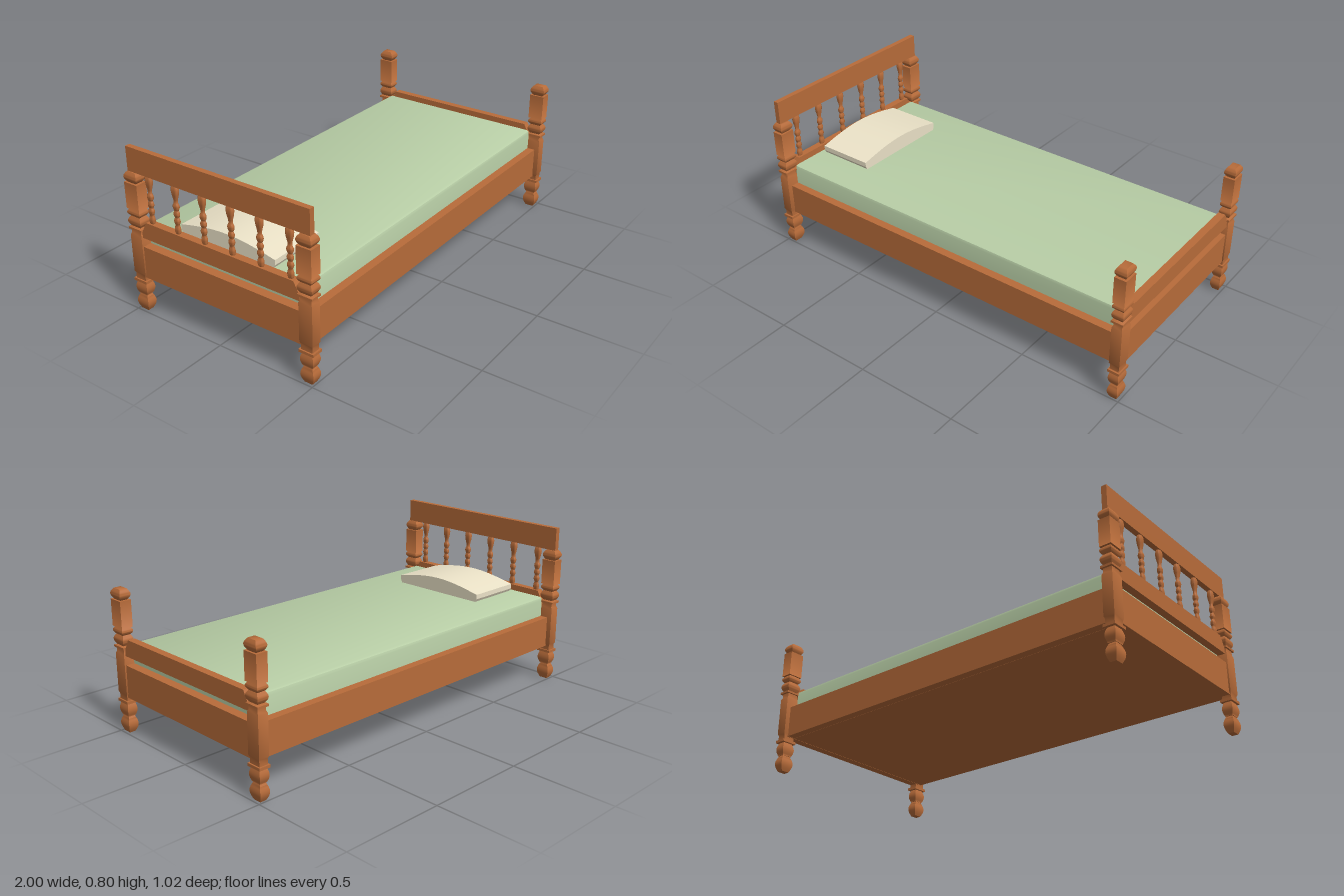
import * as THREE from 'three';
import { toCreasedNormals } from 'three/addons/utils/BufferGeometryUtils.js';

const wood = new THREE.MeshStandardMaterial({ color: 0xb86c3a });
const sheet = new THREE.MeshStandardMaterial({ color: 0xb8cea6 });
const linen = new THREE.MeshStandardMaterial({ color: 0xece3c8 });

const POST_X = 0.97, POST_Z = 0.47, DEPTH = 0.75; // turned parts are narrower along x

// Rounded bulge between two heights, as [radius, y] pairs
function bead(y0, y1, neck, belly, steps = 8) {
  return Array.from({ length: steps + 1 }, (_, i) => {
    const t = i / steps;
    return [neck + (belly - neck) * Math.sin(Math.PI * t), y0 + (y1 - y0) * t];
  });
}

// Straight section with sharp ends
const block = (y0, y1, r) => [[r, y0], [r, y1]];

// Turned profile, square (4 sides) or round
function turned(profile, sides) {
  const k = sides === 4 ? Math.SQRT2 : 1;
  const pts = profile.map(([r, y]) => new THREE.Vector2(r * k, y));
  const geo = new THREE.LatheGeometry(pts, sides);
  if (sides === 4) geo.rotateY(Math.PI / 4);
  geo.scale(DEPTH, 1, 1);
  return toCreasedNormals(geo, 0.9);
}

// Cross-section in the z/y plane, extruded along x from x0 to x1
function extrudeX(points, x0, x1) {
  const shape = new THREE.Shape(points.map(([z, y]) => new THREE.Vector2(-z, y)));
  const geo = new THREE.ExtrudeGeometry(shape, { depth: x1 - x0, bevelEnabled: false });
  geo.rotateY(Math.PI / 2);
  geo.translate(x0, 0, 0);
  return toCreasedNormals(geo, 0.5);
}

export function createModel() {
  const bed = new THREE.Group();
  bed.name = 'bed';

  function add(name, geo, material, x = 0, y = 0, z = 0) {
    const mesh = new THREE.Mesh(geo, material);
    mesh.name = name;
    mesh.position.set(x, y, z);
    bed.add(mesh);
    return mesh;
  }
  const box = (name, x0, x1, y0, y1, z0, z1) =>
    add(name, new THREE.BoxGeometry(x1 - x0, y1 - y0, z1 - z0), wood,
      (x0 + x1) / 2, (y0 + y1) / 2, (z0 + z1) / 2);

  // Four square turned corner posts
  const postGeo = turned([
    [0, 0],
    ...bead(0, 0.08, 0.02, 0.034),
    ...bead(0.08, 0.147, 0.024, 0.034),
    ...block(0.147, 0.16, 0.038),
    ...block(0.16, 0.185, 0.029),
    ...block(0.195, 0.38, 0.034),
    ...block(0.392, 0.41, 0.028),
    ...block(0.41, 0.42, 0.038),
    ...bead(0.425, 0.474, 0.026, 0.038),
    ...bead(0.474, 0.51, 0.026, 0.038),
    ...block(0.51, 0.637, 0.0375),
    ...bead(0.637, 0.688, 0.024, 0.038),
    [0, 0.688],
  ], 4);
  for (const sx of [-1, 1])
    for (const sz of [-1, 1])
      add(sx < 0 ? 'headPost' : 'footPost', postGeo, wood, sx * POST_X, 0, sz * POST_Z);

  // Lower frame and base
  for (const s of [-1, 1]) {
    const z = [0.435 * s, 0.48 * s].sort((a, b) => a - b);
    box('sideRail', -0.97, 0.97, 0.18, 0.335, z[0], z[1]);
    const x = [0.945 * s, 0.988 * s].sort((a, b) => a - b);
    box('endRail', x[0], x[1], 0.178, 0.335, -0.48, 0.48);
  }
  box('base', -0.95, 0.95, 0.179, 0.21, -0.44, 0.44);

  // Shaped upper rails at the head and foot
  const railShape = [[-0.436, 0.38], [-0.436, 0.41], [-0.407, 0.462],
    [0.407, 0.462], [0.436, 0.41], [0.436, 0.38]];
  for (const s of [-1, 1]) {
    const c = s * 0.969;
    add(s < 0 ? 'headRail' : 'footRail', extrudeX(railShape, c - 0.018, c + 0.018), wood);
  }

  // Headboard plank and its row of spindles
  box('headboard', -0.983, -0.957, 0.688, 0.803, -0.494, 0.494);
  const spindleGeo = turned([
    ...bead(0.455, 0.503, 0.01, 0.016, 6),
    ...bead(0.503, 0.537, 0.01, 0.016, 6),
    ...bead(0.537, 0.57, 0.01, 0.016, 6),
    ...bead(0.57, 0.608, 0.01, 0.017, 6),
    [0.011, 0.622], [0.017, 0.645], [0.02, 0.665], [0.018, 0.68], [0.012, 0.692],
  ], 12);
  for (let i = 0; i < 6; i++)
    add('spindle', spindleGeo, wood, -POST_X, 0, (i - 2.5) * 0.153);

  // Mattress with eased long edges
  add('mattress', extrudeX([[-0.44, 0.21], [-0.44, 0.418], [-0.436, 0.43], [-0.425, 0.435],
    [0.425, 0.435], [0.436, 0.43], [0.44, 0.418], [0.44, 0.21]], -0.945, 0.945), sheet);

  // Pillow, arched across the bed
  const pillow = [[0.25, 0.433], [-0.25, 0.433], [-0.26, 0.45]];
  for (let i = 0; i <= 16; i++) {
    const t = i / 8 - 1;
    pillow.push([0.26 * t, 0.474 + 0.036 * Math.cos(t * Math.PI / 2)]);
  }
  pillow.push([0.26, 0.45]);
  add('pillow', extrudeX(pillow, -0.92, -0.635), linen);

  return bed;
}
